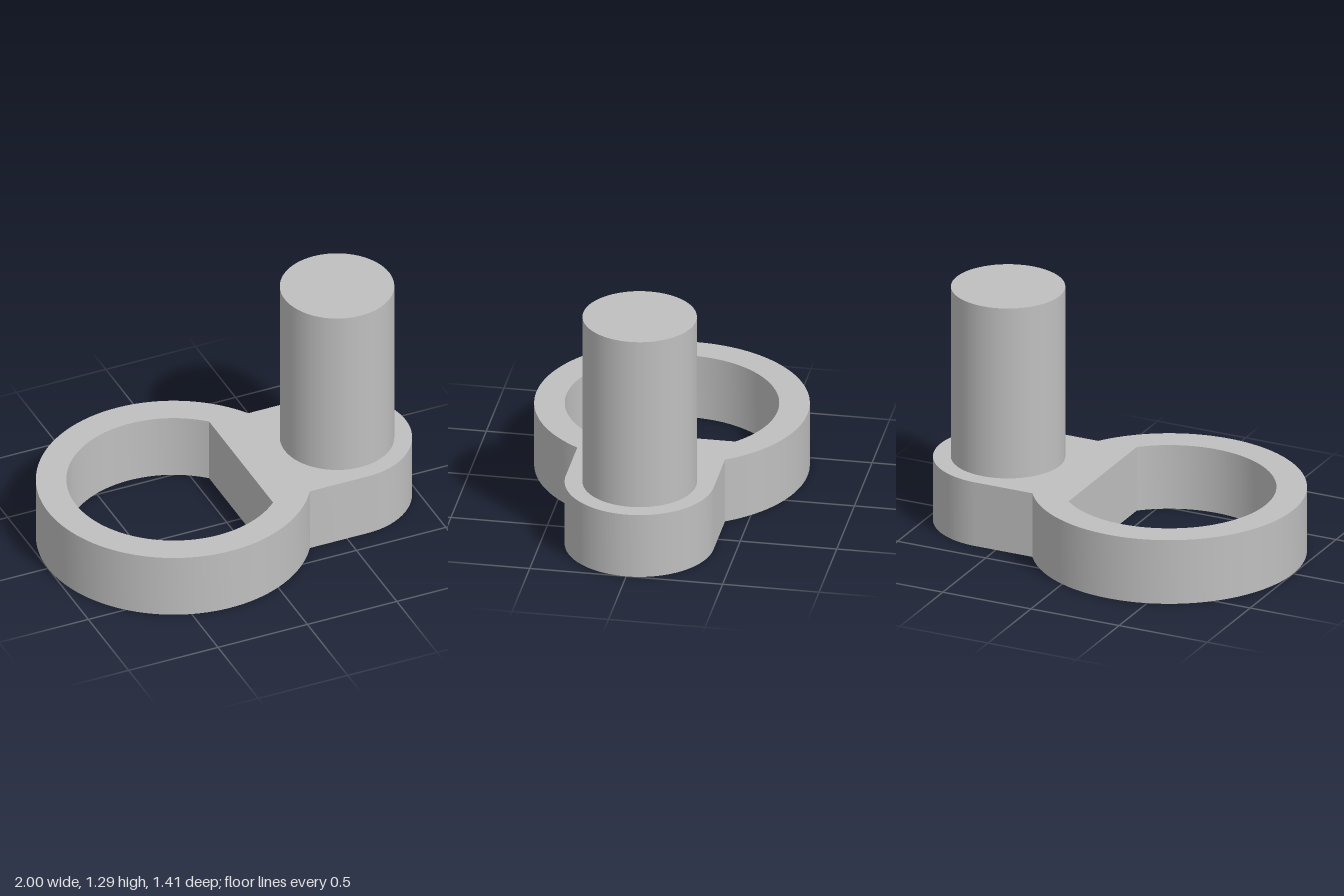
import * as THREE from 'three';
import { toCreasedNormals } from 'three/addons/utils/BufferGeometryUtils.js';

export function createModel() {
  const model = new THREE.Group();
  const grey = new THREE.MeshStandardMaterial({ color: 0xbfbfbf });
  grey.name = 'plain grey';

  const height = 0.352;
  const ringX = -0.297, ringR = 0.703, holeR = 0.547, flatX = 0.08;
  const tabX = 0.617, tabR = 0.383;
  const pinR = 0.292, pinTop = 1.292;

  // Outline: large ring running into a straight-sided tab with a round end
  const join = Math.asin(tabR / ringR);
  const outline = new THREE.Shape();
  outline.absarc(ringX, 0, ringR, join, 2 * Math.PI - join, false);
  outline.absarc(tabX, 0, tabR, -Math.PI / 2, Math.PI / 2, false);
  outline.closePath();

  // D-shaped hole with its flat towards the pin
  const flat = Math.acos((flatX - ringX) / holeR);
  const hole = new THREE.Path();
  hole.absarc(ringX, 0, holeR, flat, 2 * Math.PI - flat, false);
  hole.closePath();
  outline.holes.push(hole);

  const plate = new THREE.ExtrudeGeometry(outline, { depth: height, bevelEnabled: false, curveSegments: 64 });
  plate.rotateX(-Math.PI / 2);
  const crank = new THREE.Mesh(toCreasedNormals(plate, 0.5), grey);
  crank.name = 'ringPlate';
  model.add(crank);

  // Upright pin on the tab
  const pin = new THREE.Mesh(new THREE.CylinderGeometry(pinR, pinR, pinTop - height, 64), grey);
  pin.name = 'pin';
  pin.position.set(tabX, (pinTop + height) / 2, 0);
  model.add(pin);

  return model;
}
